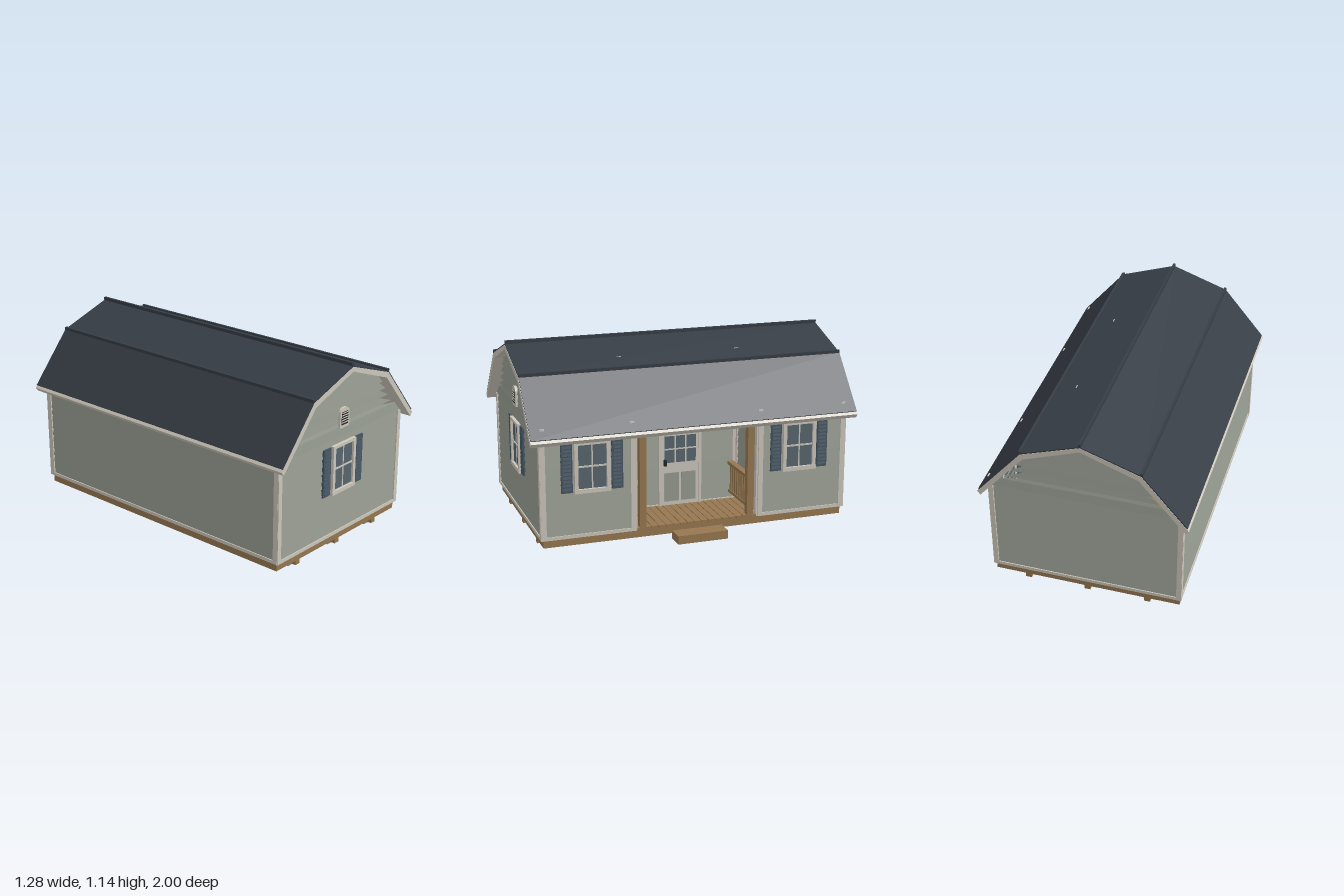
import * as THREE from 'three';

const mat = (name, color, extra = {}) => {
  const m = new THREE.MeshStandardMaterial({ color, ...extra });
  m.name = name;
  return m;
};
const SIDING = mat('sage siding', 0x969b90, { side: THREE.DoubleSide });
const TRIM = mat('off-white trim', 0xcdc8bc);
const WOOD = mat('timber', 0x967850);
const ROOF = mat('dark roofing', 0x363d45);
const SHUTTER = mat('blue shutter', 0x465764);
const GLASS = mat('window glass', 0x58666f);
const DARK = mat('black metal', 0x23272b);
const BLOCK = mat('concrete', 0x7f8b88);

const CX = -0.025; // centre line of the house

function add(parent, name, geo, material) {
  const m = new THREE.Mesh(geo, material);
  m.name = name;
  parent.add(m);
  return m;
}
// box given by its minimum and maximum on each axis
function box(parent, name, material, x0, x1, y0, y1, z0, z1) {
  const m = add(parent, name, new THREE.BoxGeometry(x1 - x0, y1 - y0, z1 - z0), material);
  m.position.set((x0 + x1) / 2, (y0 + y1) / 2, (z0 + z1) / 2);
  return m;
}
function group(parent, name, x, z, turn = 0) {
  const g = new THREE.Group();
  g.name = name;
  g.position.set(x, 0, z);
  g.rotation.y = turn;
  parent.add(g);
  return g;
}

// lapped boards facing +z: each course is [bottom, top, half width below, half width above]
function lapSiding(courses) {
  const pos = [];
  const quad = (a, b, c, d) => pos.push(...a, ...b, ...c, ...a, ...c, ...d);
  for (const [y0, y1, h0, h1] of courses) {
    const lip = 0.008;
    quad([-h0, y0, lip], [h0, y0, lip], [h1, y1, 0], [-h1, y1, 0]);
    quad([-h0, y0, 0], [h0, y0, 0], [h0, y0, lip], [-h0, y0, lip]);
  }
  const g = new THREE.BufferGeometry();
  g.setAttribute('position', new THREE.Float32BufferAttribute(pos, 3));
  g.computeVertexNormals();
  return g;
}
function courses(y0, y1, h, step = 0.046) {
  const n = Math.round((y1 - y0) / step), s = (y1 - y0) / n;
  return Array.from({ length: n }, (_, i) => [y0 + i * s, y0 + (i + 1) * s, h, h]);
}

// siding panel with corner boards and a base board
function wall(parent, name, x, z, turn, half, top, rows) {
  const g = group(parent, name, x, z, turn);
  add(g, 'lapSiding', lapSiding(rows || courses(0.09, top, half)), SIDING);
  for (const s of [-1, 1]) {
    const e = s * half, i = s * (half - 0.03);
    box(g, 'cornerBoard', TRIM, Math.min(e, i), Math.max(e, i), 0.088, top, 0, 0.012);
  }
  box(g, 'baseBoard', TRIM, -half, half, 0.086, 0.106, 0, 0.011);
  return g;
}

// window with four panes and a pair of louvred shutters, facing +z
function windowUnit(parent, x) {
  const g = group(parent, 'window', x, 0);
  box(g, 'glass', GLASS, -0.09, 0.09, 0.37, 0.645, 0.004, 0.013);
  for (const s of [-1, 1]) {
    box(g, 'sideCasing', TRIM, s * 0.095 - 0.011, s * 0.095 + 0.011, 0.355, 0.655, 0, 0.026);
    box(g, 'shutter', SHUTTER, s * 0.149 - 0.033, s * 0.149 + 0.033, 0.36, 0.652, 0, 0.016);
    for (let i = 0; i < 12; i++) {
      const y = 0.375 + i * 0.0225;
      const slat = box(g, 'shutterSlat', SHUTTER, s * 0.149 - 0.025, s * 0.149 + 0.025, y, y + 0.015, 0.014, 0.018);
      slat.rotation.x = -0.2;
    }
  }
  box(g, 'headCasing', TRIM, -0.106, 0.106, 0.637, 0.655, 0, 0.026);
  box(g, 'sill', TRIM, -0.108, 0.108, 0.353, 0.377, 0, 0.028);
  box(g, 'meetingRail', TRIM, -0.09, 0.09, 0.503, 0.513, 0.008, 0.018);
  box(g, 'glazingBar', TRIM, -0.004, 0.004, 0.375, 0.64, 0.008, 0.016);
}

// symmetric gambrel band from half-profiles running eave to ridge
function gambrel(parent, name, material, outer, inner, halfLength) {
  const flip = (pts) => pts.slice(0, -1).reverse().map(([x, y]) => [-x, y]);
  const up = [...outer, ...flip(outer)], down = [...inner, ...flip(inner)].reverse();
  const shape = new THREE.Shape([...up, ...down].map(([x, y]) => new THREE.Vector2(x + CX, y)));
  const geo = new THREE.ExtrudeGeometry(shape, { depth: halfLength * 2, bevelEnabled: false });
  geo.translate(0, 0, -halfLength);
  return add(parent, name, geo, material);
}

export function createModel() {
  const root = new THREE.Group();
  root.name = 'barnCabin';

  // floor frame, runners, footing blocks and doorstep
  box(root, 'floorFrame', WOOD, -0.585, 0.535, 0.04, 0.087, -0.93, 0.93);
  for (const x of [-0.39, CX, 0.34]) {
    box(root, 'runner', WOOD, x - 0.018, x + 0.018, 0.008, 0.041, -0.925, 0.925);
    for (const z of [-0.84, 0, 0.84]) box(root, 'footingBlock', BLOCK, x - 0.044, x + 0.044, 0, 0.026, z - 0.052, z + 0.052);
  }
  box(root, 'doorstep', WOOD, 0.53, 0.64, 0.005, 0.056, -0.155, 0.155);

  // gable walls: straight courses, stepped board ends under the steep roof, then the peak
  const peak = (y) => 0.345 * (1.09 - y) / 0.13;
  const gableRows = [
    ...courses(0.09, 0.69, 0.565),
    [0.69, 0.75, 0.565, 0.515],
    [0.75, 0.775, 0.515, 0.345], [0.775, 0.82, 0.47, 0.345], [0.82, 0.868, 0.435, 0.345],
    [0.868, 0.915, 0.405, 0.345], [0.915, 0.96, 0.375, 0.345],
    ...[0.96, 1.003, 1.046].map((y) => [y, y + 0.043, peak(y), peak(y + 0.043)]),
  ];
  const front = wall(root, 'frontGable', CX, 0.935, 0, 0.572, 0.69, gableRows);
  wall(root, 'backGable', CX, -0.935, Math.PI, 0.572, 0.69, gableRows);
  windowUnit(front, 0.003);

  // arched gable vent
  const arch = new THREE.Shape();
  arch.moveTo(-0.043, 0.745).lineTo(0.043, 0.745).lineTo(0.043, 0.83);
  arch.absellipse(0, 0.83, 0.043, 0.035, 0, Math.PI, false);
  arch.lineTo(-0.043, 0.745);
  add(front, 'ventFrame', new THREE.ExtrudeGeometry(arch, { depth: 0.018, bevelEnabled: false, curveSegments: 10 }), TRIM);
  box(front, 'ventOpening', DARK, -0.03, 0.03, 0.763, 0.84, 0.015, 0.02);
  for (let i = 0; i < 5; i++) box(front, 'ventLouvre', TRIM, -0.03, 0.03, 0.774 + i * 0.0145, 0.779 + i * 0.0145, 0.018, 0.023);

  // long side walls
  wall(root, 'rightSideWall', -0.586, 0, -Math.PI / 2, 0.942, 0.69);
  for (const s of [-1, 1]) {
    const w = wall(root, 'leftSideWall', 0.536, s * 0.661, Math.PI / 2, 0.281, 0.69);
    windowUnit(w, s * 0.021);
    // porch side walls face into the recess
    wall(root, 'porchSideWall', 0.37, s * 0.382, s > 0 ? Math.PI : 0, 0.17, 0.69);
  }

  // porch back wall and door
  const back = wall(root, 'porchBackWall', 0.2, 0, Math.PI / 2, 0.38, 0.69);
  const door = group(back, 'door', 0.005, 0);
  box(door, 'doorSlab', TRIM, -0.12, 0.12, 0.1, 0.65, 0, 0.018);
  for (const s of [-1, 1]) {
    box(door, 'doorCasing', TRIM, s * 0.127 - 0.009, s * 0.127 + 0.009, 0.1, 0.67, 0, 0.025);
    box(door, 'doorPanel', SIDING, s * 0.053 - 0.046, s * 0.053 + 0.046, 0.125, 0.305, 0.015, 0.021);
    box(door, 'doorGlazingBar', TRIM, s * 0.034 - 0.004, s * 0.034 + 0.004, 0.37, 0.63, 0.018, 0.026);
  }
  box(door, 'doorHead', TRIM, -0.136, 0.136, 0.65, 0.67, 0, 0.025);
  box(door, 'doorGlass', GLASS, -0.1, 0.1, 0.37, 0.63, 0.015, 0.022);
  for (const y of [0.456, 0.543]) box(door, 'doorGlazingBar', TRIM, -0.1, 0.1, y - 0.004, y + 0.004, 0.018, 0.026);
  box(door, 'doorHandle', DARK, -0.106, -0.092, 0.355, 0.392, 0.015, 0.04);

  // porch deck, ceiling, posts and railings
  for (let i = 0; i < 17; i++) {
    const z = -0.374 + i * 0.044;
    box(root, 'deckBoard', WOOD, 0.2, 0.542, 0.086, 0.1, z, z + 0.04);
  }
  box(root, 'porchCeiling', TRIM, 0.2, 0.53, 0.68, 0.688, -0.385, 0.385);
  box(root, 'porchBeam', WOOD, 0.5, 0.538, 0.655, 0.69, -0.385, 0.385);
  for (const s of [-1, 1]) {
    const z = s * 0.335;
    box(root, 'porchPost', WOOD, 0.5, 0.54, 0.088, 0.68, z - 0.02, z + 0.02);
    box(root, 'topRail', WOOD, 0.21, 0.5, 0.322, 0.342, z - 0.018, z + 0.018);
    box(root, 'bottomRail', WOOD, 0.21, 0.5, 0.14, 0.158, z - 0.01, z + 0.01);
    for (let i = 0; i < 8; i++) {
      const x = 0.235 + i * 0.035;
      box(root, 'baluster', WOOD, x - 0.007, x + 0.007, 0.15, 0.33, z - 0.007, z + 0.007);
    }
  }

  // gambrel roof: pale edge board with dark covering
  const edge = [[0.615, 0.675], [0.345, 0.995], [0, 1.115]];
  gambrel(root, 'roofEdge', TRIM, edge, [[0.597, 0.652], [0.33, 0.965], [0, 1.087]], 1);
  gambrel(root, 'roofCovering', ROOF, [[0.608, 0.694], [0.349, 1.001], [0, 1.122]],
    [[0.602, 0.688], [0.344, 0.993], [0, 1.112]], 0.998);
  box(root, 'ridgeCap', ROOF, CX - 0.008, CX + 0.008, 1.105, 1.139, -0.998, 0.998);
  for (const s of [-1, 1]) {
    const x = CX + s * 0.345;
    box(root, 'kneeCap', ROOF, x - 0.008, x + 0.008, 0.985, 1.015, -0.998, 0.998);
  }

  // small trim ends showing on the porch side of the roof
  for (const z of [-0.925, -0.39, 0.4, 0.925]) box(root, 'trimEnd', TRIM, 0.535, 0.548, 0.732, 0.746, z - 0.014, z + 0.014);
  for (const z of [-0.37, 0.37]) box(root, 'trimEnd', TRIM, 0.19, 0.2, 1.03, 1.046, z - 0.014, z + 0.014);

  return root;
}
